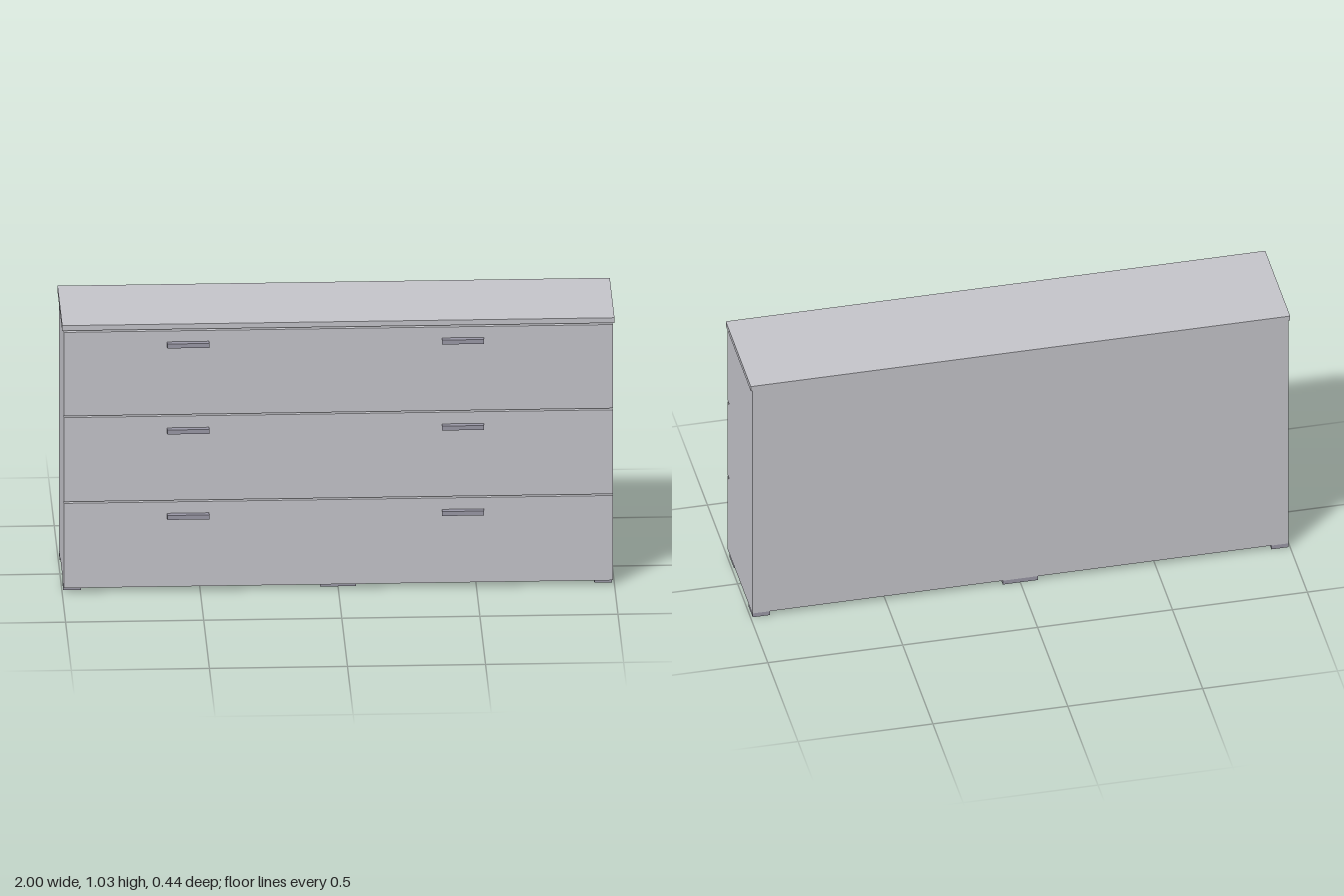
import * as THREE from 'three';

export function createModel() {
  const group = new THREE.Group();
  const bodyPaint = new THREE.MeshStandardMaterial({ name: 'light grey', color: 0xc4c4ca });
  const trimPaint = new THREE.MeshStandardMaterial({ name: 'dark grey', color: 0x9a98a6 });

  const add = (name, geometry, material, x = 0, y = 0, z = 0) => {
    const mesh = new THREE.Mesh(geometry, material);
    mesh.name = name;
    mesh.position.set(x, y, z);
    group.add(mesh);
  };

  // Sweeps a side profile of [z, y] points along x, centred on x = 0
  const sweep = (points, width) => {
    const shape = new THREE.Shape(points.map(([z, y]) => new THREE.Vector2(z, y)));
    return new THREE.ExtrudeGeometry(shape, { depth: width, bevelEnabled: false })
      .translate(0, 0, -width / 2)
      .rotateY(-Math.PI / 2);
  };

  // Cabinet with shadow gaps between the three full-width drawer fronts
  const front = 0.195, back = -0.215, gapBack = 0.173, bottom = 0.018, top = 1.012;
  const profile = [[back, bottom], [front, bottom]];
  for (const y of [0.348, 0.679]) {
    profile.push([front, y - 0.003], [gapBack, y - 0.003], [gapBack, y + 0.003], [front, y + 0.003]);
  }
  profile.push([front, 1.005], [gapBack, 1.005], [gapBack, top], [back, top]);
  add('cabinet', sweep(profile, 1.988), bodyPaint);

  // Top board
  add('topBoard', new THREE.BoxGeometry(2, 0.02, 0.414), bodyPaint, 0, 1.022, -0.01);

  // Handles: a short bar with a finger lip along its front edge
  const handle = sweep(
    [[0.195, 0.004], [0.207, 0.004], [0.207, 0], [0.218, 0], [0.218, 0.017], [0.195, 0.017]], 0.152);
  for (const y of [0.284, 0.614, 0.946]) {
    for (const x of [-0.544, 0.451]) add('handle', handle, trimPaint, x, y, 0);
  }

  // Feet: narrow at the corners, wide in the middle
  for (const z of [0.133, -0.178]) {
    for (const [x, width] of [[-0.963, 0.064], [0, 0.13], [0.96, 0.064]]) {
      add('foot', new THREE.BoxGeometry(width, bottom, 0.071), trimPaint, x, bottom / 2, z);
    }
  }
  return group;
}
